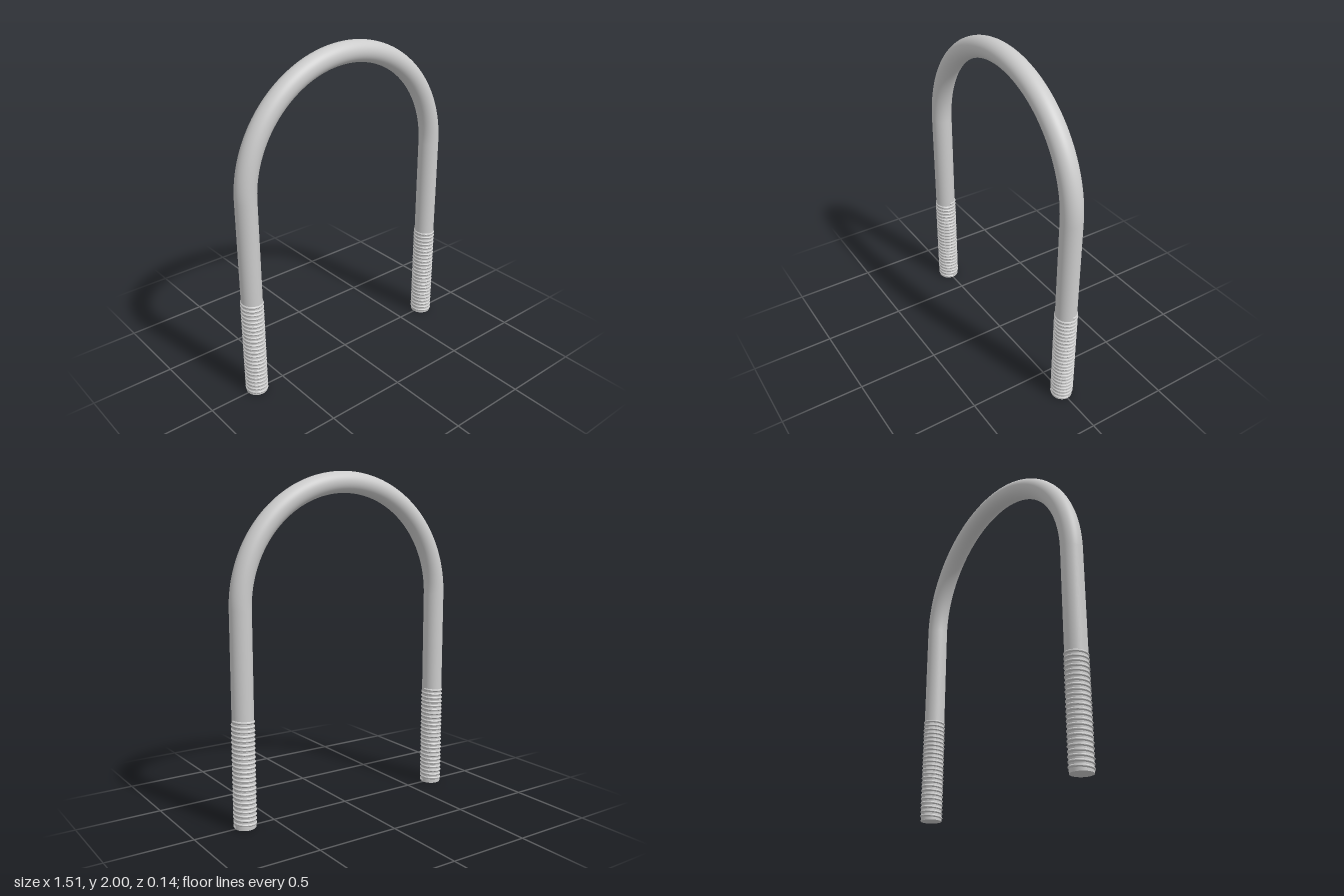
import * as THREE from 'three';
import { toCreasedNormals } from 'three/addons/utils/BufferGeometryUtils.js';

const ROD = 0.0625;      // rod radius
const BEND = 0.6875;     // bend radius, also the offset of each leg
const LEG = 1.25;        // height where the bend starts
const THREAD_TOP = 0.64;
const TURNS = 24;

// Helical ridge swept around the y axis, with closed ends
function threadGeometry() {
  const profile = [[0.0605, -0.0105], [0.0675, -0.002], [0.0675, 0.002], [0.0605, 0.0105]];
  const n = profile.length, perTurn = 48, steps = TURNS * perTurn;
  const positions = [], index = [];
  for (let i = 0; i <= steps; i++) {
    const angle = (i / perTurn) * Math.PI * 2;
    const y = 0.0105 + (THREAD_TOP - 0.021) * (i / steps);
    for (const [r, dy] of profile) {
      positions.push(r * Math.cos(angle), y + dy, r * Math.sin(angle));
    }
  }
  for (let i = 0; i < steps; i++) {
    for (let j = 0; j < n - 1; j++) {
      const a = i * n + j, b = a + 1, c = a + n, d = c + 1;
      index.push(a, b, c, b, d, c);
    }
  }
  const e = steps * n;
  index.push(0, 2, 1, 0, 3, 2, e, e + 1, e + 2, e, e + 2, e + 3);
  const geometry = new THREE.BufferGeometry();
  geometry.setAttribute('position', new THREE.Float32BufferAttribute(positions, 3));
  geometry.setIndex(index);
  return toCreasedNormals(geometry, 0.5);
}

export function createModel() {
  const model = new THREE.Group();
  model.name = 'uBolt';
  const material = new THREE.MeshStandardMaterial({ color: 0xcccccc });
  const add = (geometry, name, x, y) => {
    const mesh = new THREE.Mesh(geometry, material);
    mesh.name = name;
    mesh.position.set(x, y, 0);
    model.add(mesh);
  };

  // Half-circle bend
  add(new THREE.TorusGeometry(BEND, ROD, 48, 96, Math.PI), 'bend', 0, LEG);

  // Straight legs: side wall and flat end, open where they meet the bend
  const leg = new THREE.CylinderGeometry(ROD, ROD, LEG, 48, 1, true);
  const end = new THREE.CircleGeometry(ROD, 48).rotateX(Math.PI / 2);
  const thread = threadGeometry();
  for (const [side, sign] of [['left', 1], ['right', -1]]) {
    add(leg, side + 'Leg', sign * BEND, LEG / 2);
    add(end, side + 'LegEnd', sign * BEND, 0);
    add(thread, side + 'Thread', sign * BEND, 0);
  }
  return model;
}
